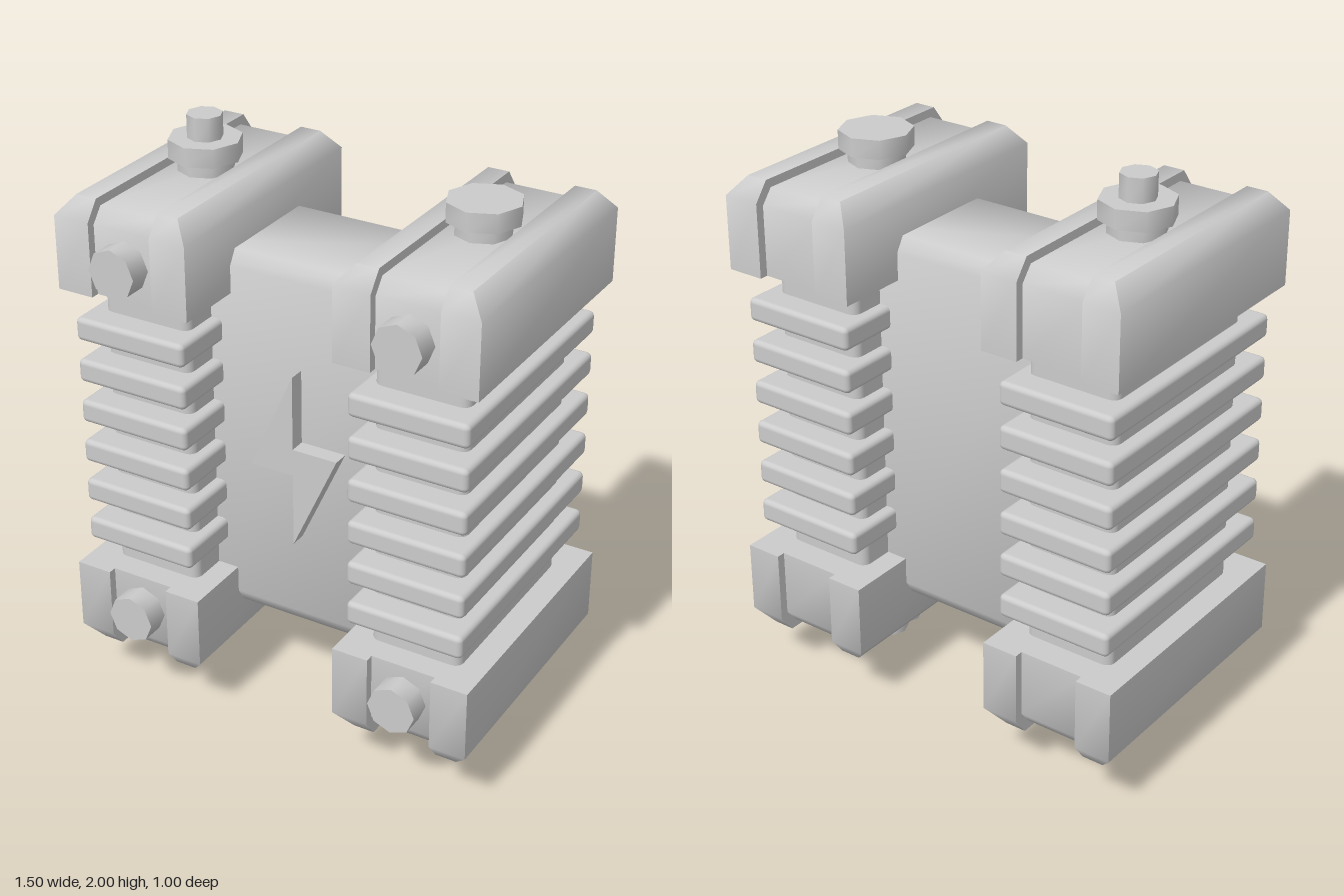
import * as THREE from 'three';
import { toCreasedNormals } from 'three/addons/utils/BufferGeometryUtils.js';
import { RoundedBoxGeometry } from 'three/addons/geometries/RoundedBoxGeometry.js';

const grey = new THREE.MeshStandardMaterial({ color: 0xcccccc });
const COLUMN_X = 0.505;
const MID_Z = -0.025;

function add(parent, name, geometry, x, y, z) {
  const mesh = new THREE.Mesh(geometry, grey);
  mesh.name = name;
  mesh.position.set(x, y, z);
  parent.add(mesh);
  return mesh;
}

// Block standing on y = 0 whose top edges slope in by the given insets
function chamferedBlock(w, h, d, { left = 0, right = 0, ends = 0, drop = 0.06 }) {
  const geometry = new THREE.BoxGeometry(w, h, d, 1, 2, 1);
  const p = geometry.attributes.position;
  for (let i = 0; i < p.count; i++) {
    const y = p.getY(i);
    if (Math.abs(y) < 1e-6) p.setY(i, h - drop);
    else if (y < 0) p.setY(i, 0);
    else {
      p.setXYZ(i,
        p.getX(i) + (p.getX(i) < 0 ? left : -right),
        h,
        p.getZ(i) - Math.sign(p.getZ(i)) * ends);
    }
  }
  return toCreasedNormals(geometry, 0.95);
}

function octagon(radius, height) {
  return toCreasedNormals(new THREE.CylinderGeometry(radius, radius, height, 8), 0.9);
}

// End cap: two chamfered rails around a slightly lower core, with its bolts
function makeCap(x, hasStud) {
  const cap = new THREE.Group();
  cap.name = 'endCap';
  cap.position.x = x;
  add(cap, 'capCore', chamferedBlock(0.24, 0.29, 0.89, { ends: 0.04, drop: 0.05 }), 0, 1.52, MID_Z);
  add(cap, 'railRight', chamferedBlock(0.13, 0.32, 0.95, { left: 0.055, ends: 0.05, drop: 0.065 }), -0.18, 1.52, MID_Z);
  add(cap, 'railLeft', chamferedBlock(0.13, 0.32, 0.95, { right: 0.055, ends: 0.05, drop: 0.065 }), 0.18, 1.52, MID_Z);

  add(cap, 'boltNeck', octagon(0.095, 0.08), 0, 1.825, -0.045);
  add(cap, 'boltHead', octagon(0.124, 0.065), 0, 1.8875, -0.045);
  if (hasStud) add(cap, 'stud', octagon(0.06, 0.09), 0, 1.955, -0.045);

  const frontBolt = add(cap, 'frontBolt', octagon(0.085, 0.11), 0, 1.645, 0.445);
  frontBolt.rotation.x = Math.PI / 2;
  return cap;
}

// Pair of caps; the lower pair is the upper one turned half round
function makeCapPair(name) {
  const pair = new THREE.Group();
  pair.name = name;
  pair.add(makeCap(-COLUMN_X, true), makeCap(COLUMN_X, false));
  return pair;
}

export function createModel() {
  const model = new THREE.Group();
  model.name = 'powerCell';

  const upper = makeCapPair('upperCaps');
  const lower = makeCapPair('lowerCaps');
  lower.rotation.z = Math.PI;
  lower.position.y = 2;
  model.add(upper, lower);

  // Columns with cooling fins
  for (const side of [-1, 1]) {
    const column = new THREE.Group();
    column.name = side < 0 ? 'rightColumn' : 'leftColumn';
    column.position.x = side * COLUMN_X;
    add(column, 'columnCore', new RoundedBoxGeometry(0.325, 1.16, 0.71, 2, 0.03), -side * 0.005, 1, -0.02);
    for (let i = 0; i < 6; i++) {
      add(column, 'fin', new RoundedBoxGeometry(0.415, 0.082, 0.9, 2, 0.018), 0, 0.622 + i * 0.151, -0.02);
    }
    model.add(column);
  }

  // Centre plate with eased top and bottom edges, running between the columns
  const profile = new THREE.Shape();
  [[-0.2, 0.385], [-0.17, 0.335], [0.22, 0.335], [0.25, 0.385],
    [0.25, 1.615], [0.22, 1.665], [-0.17, 1.665], [-0.2, 1.615]]
    .forEach(([u, v], i) => (i ? profile.lineTo(u, v) : profile.moveTo(u, v)));
  const plate = new THREE.ExtrudeGeometry(profile, { depth: 0.8, bevelEnabled: false });
  plate.rotateY(Math.PI / 2);
  add(model, 'centrePlate', toCreasedNormals(plate, 1.1), -0.4, 0, 0);

  // Raised lightning sign
  const sign = new THREE.Shape();
  [[0, 1.31], [-0.16, 0.952], [0, 0.952], [0, 0.69], [0.163, 1.048], [0, 1.048]]
    .forEach(([x, y], i) => (i ? sign.lineTo(x, y) : sign.moveTo(x, y)));
  add(model, 'lightningSign', new THREE.ExtrudeGeometry(sign, { depth: 0.075, bevelEnabled: false }), 0, 0, 0.182);

  return model;
}
